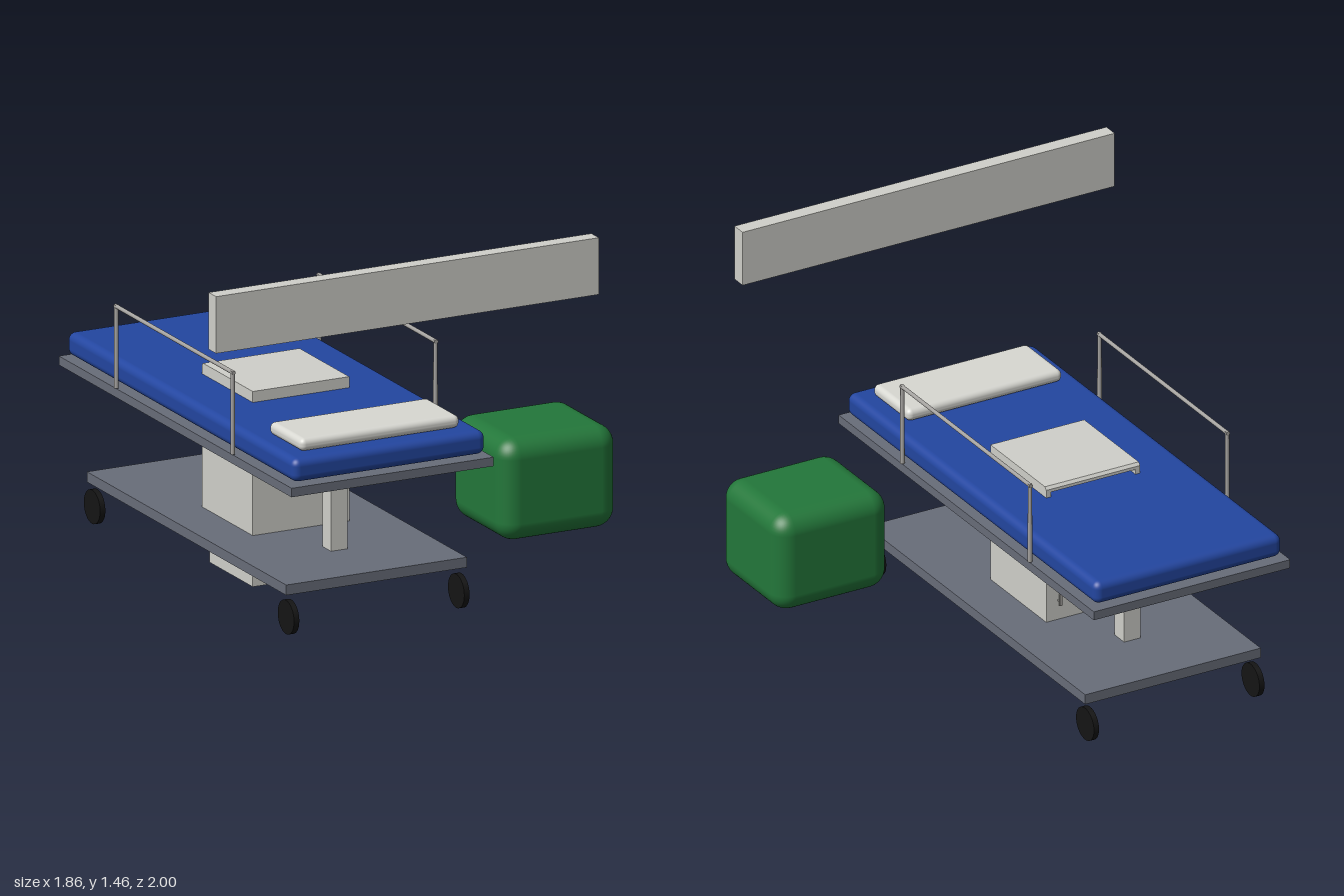
import * as THREE from 'three';
import { RoundedBoxGeometry } from 'three/addons/geometries/RoundedBoxGeometry.js';

const material = (name, color) => {
  const m = new THREE.MeshStandardMaterial({ color });
  m.name = name;
  return m;
};

export function createModel() {
  const model = new THREE.Group();
  model.name = 'hospitalBedSet';

  const ivory = material('ivoryLaminate', 0xd0d0ca);
  const linen = material('pillowLinen', 0xd8d8d2);
  const blue = material('blueVinyl', 0x2346a0);
  const green = material('greenFabric', 0x23773a);
  const slate = material('slateMetal', 0x686d79);
  const steel = material('railSteel', 0xa5a3a0);
  const rubber = material('blackRubber', 0x141414);

  const add = (name, geometry, mat, parent = model) => {
    const mesh = new THREE.Mesh(geometry, mat);
    mesh.name = name;
    parent.add(mesh);
    return mesh;
  };

  // Box from its limits on each axis, rounded when a radius is given
  const box = (name, mat, [x0, x1], [y0, y1], [z0, z1], radius = 0, parent = model) => {
    const size = [x1 - x0, y1 - y0, z1 - z0];
    const geometry = radius
      ? new RoundedBoxGeometry(...size, 5, radius)
      : new THREE.BoxGeometry(...size);
    const mesh = add(name, geometry, mat, parent);
    mesh.position.set((x0 + x1) / 2, (y0 + y1) / 2, (z0 + z1) / 2);
    return mesh;
  };

  const bed = new THREE.Group();
  bed.name = 'bed';
  model.add(bed);

  // Bed decks, mattress and pillow
  box('bedDeck', slate, [-0.55, 0.3], [0.585, 0.62], [-1, 0.88], 0, bed);
  box('baseDeck', slate, [-0.505, 0.255], [0.16, 0.2], [-0.86, 0.75], 0, bed);
  box('mattress', blue, [-0.53, 0.28], [0.628, 0.72], [-0.98, 0.86], 0.03, bed);
  box('pillow', linen, [-0.46, 0.21], [0.72, 0.77], [0.52, 0.785], 0.022, bed);

  // Lifting columns
  for (const z of [-0.525, 0.415]) {
    box('liftColumn', ivory, [-0.16, -0.09], [0.2, 0.585], [z - 0.035, z + 0.035], 0, bed);
  }

  // Wheels
  for (const x of [-0.483, 0.233]) {
    for (const z of [-0.84, 0.727]) {
      const wheel = add('wheel', new THREE.CylinderGeometry(0.066, 0.066, 0.022, 32), rubber, bed);
      wheel.rotation.z = Math.PI / 2;
      wheel.position.set(x, 0.067, z);
    }
  }

  // Side rails: two uprights and a top bar
  for (const x of [-0.553, 0.3]) {
    const rail = new THREE.Group();
    rail.name = 'sideRail';
    rail.position.x = x;
    bed.add(rail);
    for (const z of [-0.53, 0.41]) {
      const post = add('railPost', new THREE.CylinderGeometry(0.008, 0.009, 0.325, 12), steel, rail);
      post.position.set(0, 0.7875, z);
    }
    const bar = add('railBar', new THREE.CylinderGeometry(0.008, 0.008, 0.956, 12), steel, rail);
    bar.rotation.x = Math.PI / 2;
    bar.position.set(0, 0.944, -0.06);
  }

  // Bedside cabinet: side profiles given as [-z, y], extruded along x
  const cabinet = new THREE.Group();
  cabinet.name = 'cabinet';
  model.add(cabinet);
  const slab = (name, points, x0, x1) => {
    const shape = new THREE.Shape(points.map(([a, y]) => new THREE.Vector2(a, y)));
    const geometry = new THREE.ExtrudeGeometry(shape, { depth: x1 - x0, bevelEnabled: false });
    geometry.rotateY(Math.PI / 2).translate(x0, 0, 0);
    add(name, geometry, ivory, cabinet);
  };
  const foot = [[-0.14, 0], [0.21, 0], [0.21, 0.075], [0.272, 0.075]];
  const top = [[0.272, 0.752], [0.262, 0.763], [-0.14, 0.763]];
  slab('cabinetSide', [...foot, ...top], -0.328, -0.308);
  slab('cabinetSide', [...foot, ...top], 0.058, 0.078);
  // Body with an open niche above the door
  slab('cabinetBody', [...foot, [0.272, 0.555], [-0.12, 0.555], [-0.12, 0.74], [0.272, 0.74], ...top],
    -0.308, 0.058);
  box('shelfLip', ivory, [-0.308, 0.058], [0.548, 0.558], [-0.276, -0.272], 0, cabinet);
  box('doorHandle', steel, [0.02, 0.032], [0.265, 0.365], [-0.294, -0.287], 0, cabinet);
  for (const y of [0.28, 0.35]) {
    box('handleStem', steel, [0.023, 0.029], [y - 0.003, y + 0.003], [-0.288, -0.271], 0, cabinet);
  }

  // Padded stool and wall panel
  box('stool', green, [0.436, 0.926], [0.203, 0.603], [0.255, 0.7], 0.075);
  box('wallPanel', ivory, [-0.93, 0.68], [1.234, 1.456], [0.94, 1]);

  return model;
}
